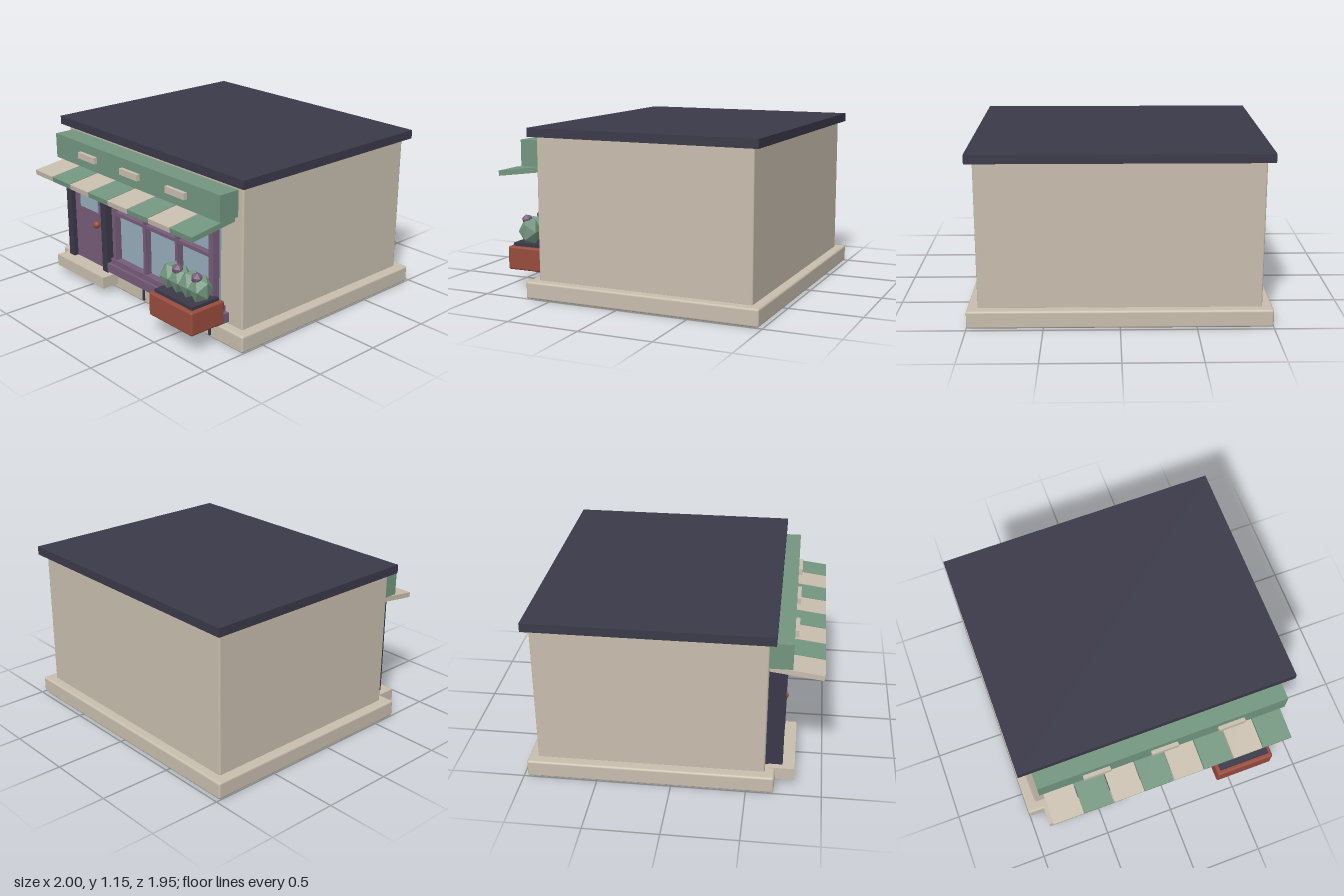
import * as THREE from 'three';
import { RoundedBoxGeometry } from 'three/addons/geometries/RoundedBoxGeometry.js';

function material(name, color, flatShading = false) {
  const m = new THREE.MeshStandardMaterial({ color, flatShading });
  m.name = name;
  return m;
}

export function createModel() {
  const cream = material('cream', 0xc8beae);
  const slate = material('slate', 0x3b3949);
  const green = material('green', 0x73967f);
  const purple = material('purple', 0x775c7a);
  const glass = material('glass', 0x97adba);
  const terracotta = material('terracotta', 0x984b3d);

  const shop = new THREE.Group();
  shop.name = 'shop';

  function add(name, geometry, mat, x, y, z, parent = shop) {
    const mesh = new THREE.Mesh(geometry, mat);
    mesh.name = name;
    mesh.position.set(x, y, z);
    parent.add(mesh);
    return mesh;
  }
  // Box given by its limits on each axis, with optional rounded edges
  function box(name, mat, [x0, x1], [y0, y1], [z0, z1], radius = 0, parent = shop) {
    const size = [x1 - x0, y1 - y0, z1 - z0];
    const geometry = radius
      ? new RoundedBoxGeometry(...size, 2, radius)
      : new THREE.BoxGeometry(...size);
    return add(name, geometry, mat, (x0 + x1) / 2, (y0 + y1) / 2, (z0 + z1) / 2, parent);
  }
  function group(name) {
    const g = new THREE.Group();
    g.name = name;
    shop.add(g);
    return g;
  }

  // Plinth, walls, roof and doorstep
  box('plinth', cream, [-1, 1], [0, 0.12], [-0.975, 0.685], 0.015);
  box('walls', cream, [-0.93, 0.93], [0.11, 1.1], [-0.91, 0.62], 0.012);
  box('roof', slate, [-0.977, 0.977], [1.095, 1.155], [-0.953, 0.663]);
  box('doorstep', cream, [-0.885, -0.31], [0.04, 0.125], [0.64, 0.815]);
  for (const x of [-0.695, 0, 0.695]) {
    box('plinthJoint', slate, [x - 0.008, x + 0.008], [0.022, 0.11], [0.68, 0.695]);
  }

  // Door with its frame
  const door = group('door');
  box('doorPanel', purple, [-0.78, -0.42], [0.12, 0.86], [0.61, 0.7], 0, door);
  box('doorGlass', glass, [-0.705, -0.495], [0.54, 0.78], [0.7, 0.708], 0, door);
  for (const x of [-0.81, -0.39]) {
    box('doorPost', slate, [x - 0.03, x + 0.03], [0.12, 0.885], [0.61, 0.735], 0, door);
  }
  box('doorLintel', slate, [-0.84, -0.36], [0.83, 0.885], [0.61, 0.735], 0, door);
  add('doorKnob', new THREE.SphereGeometry(0.027, 16, 12), terracotta, -0.49, 0.455, 0.722, door);

  // Shop window: glass, bars and stepped sill
  const shopWindow = group('shopWindow');
  box('windowGlass', glass, [-0.3, 0.73], [0.22, 0.86], [0.61, 0.66], 0, shopWindow);
  for (const [x, w] of [[-0.302, 0.036], [0.045, 0.025], [0.387, 0.025], [0.73, 0.04]]) {
    box('windowUpright', purple, [x - w / 2, x + w / 2], [0.22, 0.87], [0.655, 0.71], 0, shopWindow);
  }
  box('windowCrossbar', purple, [-0.3, 0.73], [0.583, 0.607], [0.655, 0.705], 0, shopWindow);
  box('windowHead', purple, [-0.345, 0.775], [0.84, 0.885], [0.61, 0.715], 0, shopWindow);
  box('upperSill', purple, [-0.34, 0.77], [0.2, 0.24], [0.61, 0.715], 0, shopWindow);
  box('lowerSill', purple, [-0.375, 0.805], [0.135, 0.2], [0.61, 0.735], 0, shopWindow);

  // Fascia board with three blank plates
  box('fascia', green, [-0.885, 0.885], [0.885, 1.063], [0.61, 0.77]);
  for (const x of [-0.48, 0, 0.48]) {
    box('fasciaPlate', cream, [x - 0.095, x + 0.095], [0.953, 0.998], [0.765, 0.797]);
  }

  // Striped awning sloping forward
  const awning = group('awning');
  for (let i = 0; i < 8; i++) {
    const strip = add('awningStrip', new THREE.BoxGeometry(0.209, 0.036, 0.37),
      i % 2 ? green : cream, (i - 3.5) * 0.215, 0.843, 0.789, awning);
    strip.rotation.x = 0.13;
  }

  // Planter with four faceted shrubs and two blooms
  const planter = group('planter');
  box('planterBox', terracotta, [0.383, 0.813], [0.138, 0.303], [0.665, 0.945], 0.014, planter);
  box('soil', slate, [0.41, 0.785], [0.29, 0.325], [0.69, 0.915], 0, planter);
  const leaf = new THREE.IcosahedronGeometry(0.08, 0);
  leaf.rotateY(Math.PI / 2).scale(1, 1.25, 1);
  for (let i = 0; i < 4; i++) {
    add('shrub', leaf, green, 0.452 + i * 0.096, 0.408, 0.805, planter);
  }
  const bloom = new THREE.IcosahedronGeometry(0.04, 0);
  for (const x of [0.545, 0.735]) {
    add('bloom', bloom, purple, x, 0.485, 0.83, planter).rotation.set(0.3, 0.4, 0.2);
  }

  return shop;
}
